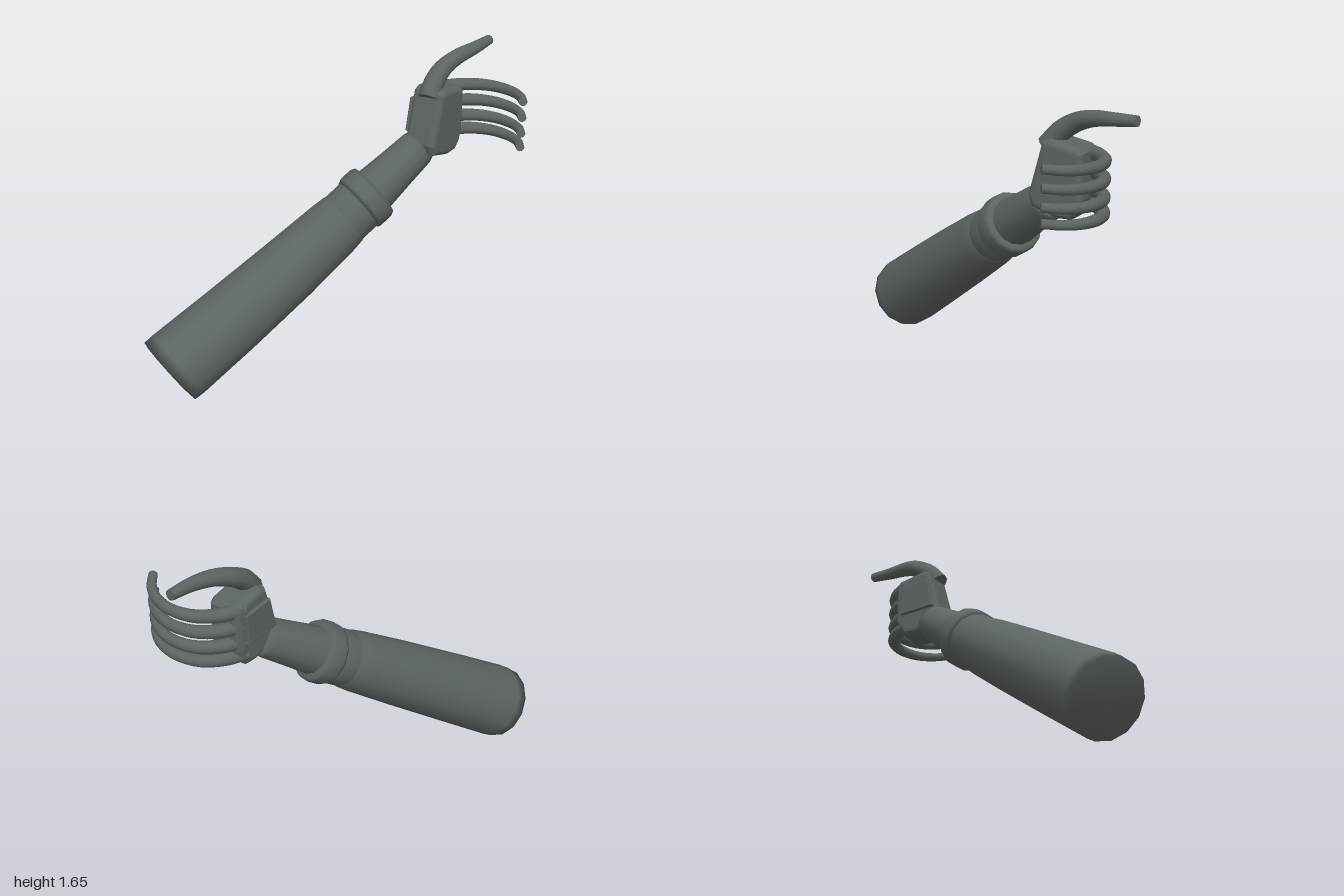
import * as THREE from 'three';

const ARM_START = new THREE.Vector3(-0.465, 0.175, 0.867);
const ARM_DIR = new THREE.Vector3(0.35, 0.546, -0.76).normalize();

// Turned section of the arm; profile is [radius, distance along the arm]
function armSection(name, profile, material, sides = 14) {
  const geo = new THREE.LatheGeometry(profile.map(([r, t]) => new THREE.Vector2(r, t)), sides);
  // gentle sideways bend of the whole arm
  const turn = new THREE.Quaternion().setFromUnitVectors(new THREE.Vector3(0, 1, 0), ARM_DIR);
  const pos = geo.attributes.position;
  const v = new THREE.Vector3();
  for (let i = 0; i < pos.count; i++) {
    v.fromBufferAttribute(pos, i);
    const bend = 0.028 * Math.sin(Math.PI * v.y / 1.8);
    v.applyQuaternion(turn).add(ARM_START);
    pos.setXYZ(i, v.x + bend, v.y, v.z);
  }
  geo.applyMatrix4(new THREE.Matrix4());
  const normals = geo.attributes.normal;
  for (let i = 0; i < normals.count; i++) {
    v.fromBufferAttribute(normals, i).applyQuaternion(turn);
    normals.setXYZ(i, v.x, v.y, v.z);
  }
  const mesh = new THREE.Mesh(geo, material);
  mesh.name = name;
  return mesh;
}

// Tapered digit along a smooth path, closed with flat ends
function digit(name, points, r0, r1, material) {
  const group = new THREE.Group();
  group.name = name;
  const curve = new THREE.CatmullRomCurve3(points.map(p => new THREE.Vector3(...p)));
  const steps = 18, sides = 12;
  const geo = new THREE.TubeGeometry(curve, steps, 1, sides);
  const pos = geo.attributes.position;
  const v = new THREE.Vector3();
  for (let i = 0; i <= steps; i++) {
    const c = curve.getPointAt(i / steps);
    const r = THREE.MathUtils.lerp(r0, r1, i / steps);
    for (let j = 0; j <= sides; j++) {
      const k = i * (sides + 1) + j;
      v.fromBufferAttribute(pos, k).sub(c).multiplyScalar(r).add(c);
      pos.setXYZ(k, v.x, v.y, v.z);
    }
  }
  group.add(new THREE.Mesh(geo, material));
  for (const [u, r, sign] of [[0, r0, -1], [1, r1, 1]]) {
    const cap = new THREE.Mesh(new THREE.CircleGeometry(r, sides), material);
    cap.position.copy(curve.getPointAt(u));
    cap.quaternion.setFromUnitVectors(new THREE.Vector3(0, 0, 1), curve.getTangentAt(u).multiplyScalar(sign));
    group.add(cap);
  }
  return group;
}

// Bevelled slab: outline given as [z, y], running from x0 to x1
function slab(name, outline, x0, x1, bevel, material) {
  const shape = new THREE.Shape(outline.map(([z, y]) => new THREE.Vector2(-z, y)));
  const geo = new THREE.ExtrudeGeometry(shape, {
    depth: x1 - x0 - 2 * bevel, bevelThickness: bevel, bevelSize: bevel,
    bevelOffset: -bevel, bevelSegments: 4,
  });
  geo.rotateY(Math.PI / 2);
  geo.translate(x0 + bevel, 0, 0);
  const mesh = new THREE.Mesh(geo, material);
  mesh.name = name;
  return mesh;
}

export function createModel() {
  const model = new THREE.Group();
  model.name = 'bentArm';
  const grey = new THREE.MeshStandardMaterial({ color: 0x5c6461 });
  grey.name = 'darkGreyGreen';

  // Sleeve, cuff rings and bare forearm
  model.add(armSection('sleeve', [
    [0, 0], [0.203, 0], [0.206, 0.06], [0.195, 0.4], [0.18, 0.8],
    [0.164, 1.12], [0.156, 1.2], [0.145, 1.22], [0, 1.22],
  ], grey));
  model.add(armSection('cuff', [[0.13, 1.18], [0.152, 1.19], [0.152, 1.34], [0.13, 1.35]], grey));
  model.add(armSection('wristBand', [
    [0.11, 1.315], [0.158, 1.315], [0.167, 1.335], [0.167, 1.405], [0.155, 1.43], [0.11, 1.43],
  ], grey));
  model.add(armSection('forearm', [
    [0.13, 1.36], [0.128, 1.44], [0.115, 1.6], [0.104, 1.76], [0.092, 1.795], [0, 1.8],
  ], grey));

  // Palm with a thin plate on the back of the hand
  model.add(slab('palm', [
    [-0.425, 1.19], [-0.445, 1.13], [-0.59, 1.09], [-0.665, 1.095], [-0.705, 1.14],
    [-0.725, 1.2], [-0.725, 1.43], [-0.7, 1.455], [-0.54, 1.482], [-0.5, 1.465],
  ], 0.1, 0.287, 0.035, grey));
  model.add(slab('handBackPlate', [
    [-0.46, 1.23], [-0.67, 1.22], [-0.68, 1.4], [-0.5, 1.41],
  ], 0.083, 0.12, 0.008, grey));

  // Four curled fingers
  const fingers = new THREE.Group();
  fingers.name = 'fingers';
  const path = [
    [0.125, -0.65], [0.175, -0.755], [0.26, -0.838], [0.38, -0.872],
    [0.5, -0.85], [0.585, -0.795], [0.645, -0.72],
  ];
  [1.415, 1.325, 1.235, 1.157].forEach((y, n) => {
    const points = path.map(([x, z], i) => [x, y + 0.032 * (i / 6) ** 2, z]);
    fingers.add(digit('finger' + (n + 1), points, 0.038, 0.023, grey));
  });
  model.add(fingers);

  // Thumb
  model.add(digit('thumb', [
    [0.205, 1.43, -0.5], [0.197, 1.505, -0.56], [0.2, 1.56, -0.64],
    [0.225, 1.598, -0.74], [0.25, 1.615, -0.86], [0.257, 1.625, -1],
  ], 0.06, 0.027, grey));

  return model;
}
